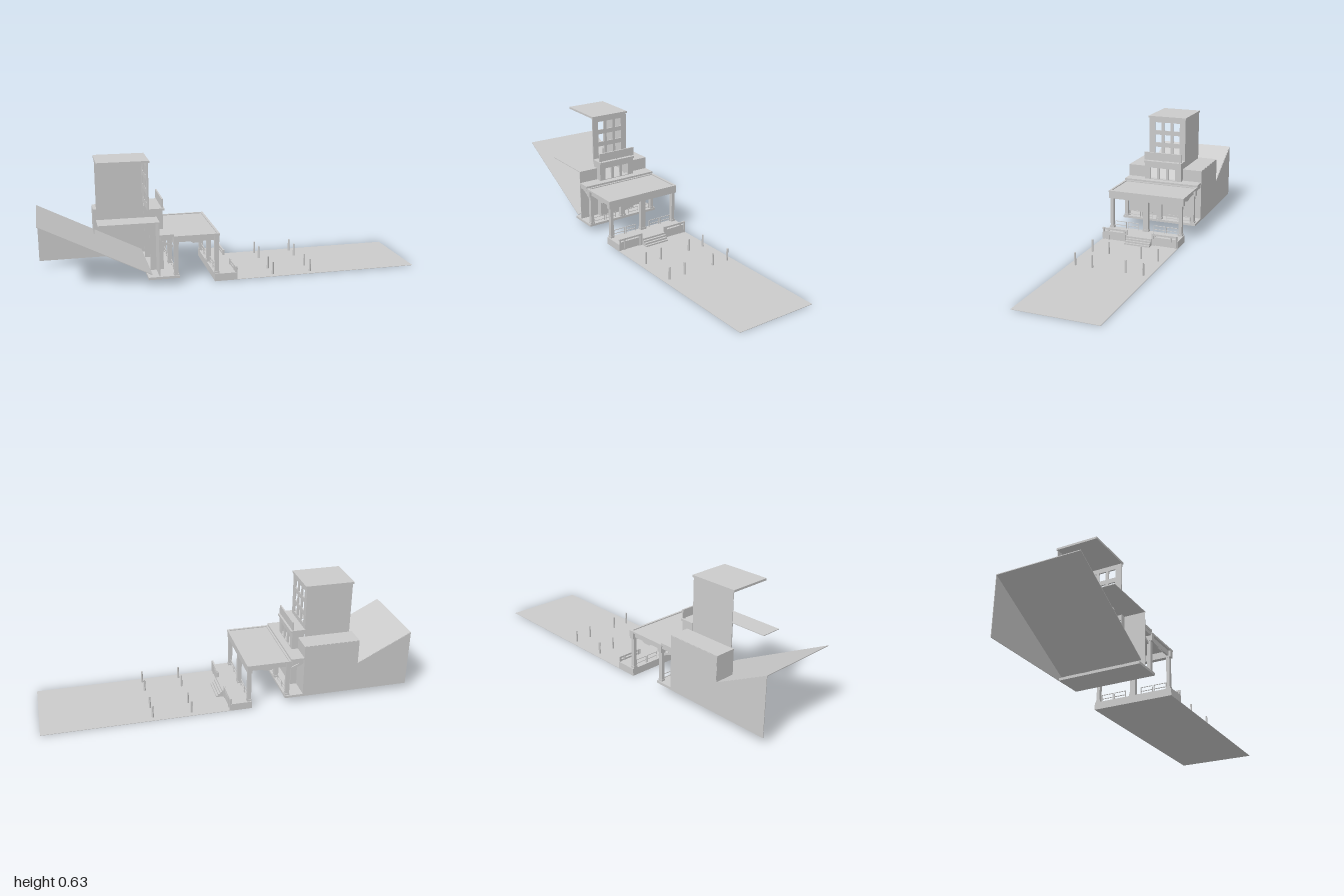
import * as THREE from 'three';

export function createModel() {
  const root = new THREE.Group();
  const mat = new THREE.MeshStandardMaterial({ color: 0xcccccc, flatShading: true, side: THREE.DoubleSide });

  const add = (name, geo) => {
    const m = new THREE.Mesh(geo, mat);
    m.name = name;
    root.add(m);
    return m;
  };
  // Box given by its limits on each axis
  const box = (name, x0, x1, y0, y1, z0, z1) => {
    const m = add(name, new THREE.BoxGeometry(x1 - x0, y1 - y0, z1 - z0));
    m.position.set((x0 + x1) / 2, (y0 + y1) / 2, (z0 + z1) / 2);
    return m;
  };
  const poly = (pts) => new THREE.Shape(pts.map(([a, b]) => new THREE.Vector2(a, b)));
  // Wall facing +x with window openings [z0, z1, y0, y1]
  const facade = (name, x, t, half, y0, y1, holes) => {
    const s = poly([[-half, y0], [half, y0], [half, y1], [-half, y1]]);
    for (const [a, b, c, d] of holes) {
      s.holes.push(new THREE.Path([[a, c], [b, c], [b, d], [a, d]].map((p) => new THREE.Vector2(...p))));
    }
    const g = new THREE.ExtrudeGeometry(s, { depth: t, bevelEnabled: false });
    g.rotateY(Math.PI / 2).translate(x - t, 0, 0);
    return add(name, g);
  };
  const cols = [-0.056, 0, 0.056];
  const windows = (y0, y1) => cols.map((c) => [c - 0.02, c + 0.02, y0, y1]);

  // Street with bollards
  box('street', 0, 1, 0, 0.002, -0.222, 0.222);
  for (const x of [0.208, 0.416]) {
    for (const z of [-0.187, -0.092, 0.092, 0.187]) {
      const b = add('bollard', new THREE.CylinderGeometry(0.005, 0.006, 0.07, 8));
      b.position.set(x, 0.035, z);
    }
  }

  // Hillside slope and the rear retaining wall
  const slope = poly([[-1, 0.348], [-1, 0.352], [-0.44, 0.064], [-0.44, 0.06]]);
  add('slope', new THREE.ExtrudeGeometry(slope, { depth: 0.444, bevelEnabled: false })).position.z = -0.222;
  const side = poly([[-1, 0.035], [-0.4, 0.035], [-0.4, 0.335], [-0.705, 0.335], [-0.705, 0.2], [-1, 0.35]]);
  add('sideWall', new THREE.ExtrudeGeometry(side, { depth: 0.003, bevelEnabled: false })).position.z = -0.224;

  // Low wings on both sides of the tower
  for (const s of [-1, 1]) {
    const [a, b] = s > 0 ? [0.108, 0.223] : [-0.223, -0.108];
    box('wingRoof', -0.706, -0.398, 0.333, 0.337, a, b);
    box('wingFront', -0.404, -0.4, 0.05, 0.335, a, b);
  }
  box('wingBack', -0.706, -0.703, 0.2, 0.335, -0.223, -0.11);

  // Tower: window front, one side wall and a roof slab, open on the other sides
  facade('towerFront', -0.435, 0.008, 0.111, 0.37, 0.62,
    [...windows(0.402, 0.449), ...windows(0.475, 0.522), ...windows(0.547, 0.595)]);
  box('towerSide', -0.69, -0.437, 0.26, 0.62, -0.111, -0.108);
  box('towerRoof', -0.696, -0.428, 0.62, 0.631, -0.114, 0.114);

  // Entrance block with its cornice and the raised panel
  facade('entranceFront', -0.365, 0.008, 0.111, 0.05, 0.368,
    [...windows(0.14, 0.225), ...windows(0.272, 0.338)]);
  for (const z of [-0.111, 0.108]) box('entranceSide', -0.435, -0.366, 0.05, 0.368, z, z + 0.003);
  box('entranceCornice', -0.436, -0.355, 0.368, 0.379, -0.114, 0.114);
  box('raisedPanel', -0.371, -0.363, 0.384, 0.43, -0.114, 0.114);
  for (const z of [-0.1, 0, 0.1]) box('panelFoot', -0.369, -0.365, 0.378, 0.386, z - 0.003, z + 0.003);

  // Canopy over the rear platform, with slanted brackets
  box('canopy', -0.4, -0.328, 0.257, 0.269, -0.223, 0.223);
  box('canopyBeam', -0.396, -0.334, 0.238, 0.257, -0.22, 0.22);
  const brace = poly([[-0.4, 0.238], [-0.4, 0.225], [-0.33, 0.195], [-0.33, 0.208]]);
  for (const z of [-0.205, 0.199]) {
    add('bracket', new THREE.ExtrudeGeometry(brace, { depth: 0.006, bevelEnabled: false })).position.z = z;
  }

  // Platforms
  box('rearPlatform', -0.46, -0.3, 0.035, 0.048, -0.223, 0.223);
  box('frontPlatform', -0.115, 0.0, 0.0, 0.04, -0.222, 0.222);

  // Columns, beams and railings of the hall, one row on each platform
  for (const [x0, x1, floor] of [[-0.328, -0.302, 0.045], [-0.115, -0.09, 0.04]]) {
    for (const z of [-0.204, 0, 0.204]) {
      const w = z === 0 ? 0.015 : 0.009;
      box('column', x0 + 0.002, x1 - 0.002, floor, 0.235, z - w, z + w);
      box('columnBase', x0, x1, floor, floor + 0.012, z - w - 0.003, z + w + 0.003);
    }
    box('hallBeam', x0, x1, 0.213, 0.25, -0.222, 0.222);
    const x = (x0 + x1) / 2;
    for (const s of [-1, 1]) {
      for (const [a, b] of [[0.045, 0.11], [0.12, 0.187]]) {
        const [z0, z1] = s > 0 ? [a, b] : [-b, -a];
        for (const y of [0.056, 0.077]) box('railingBar', x - 0.002, x + 0.002, y, y + 0.003, z0, z1);
        for (const z of [z0, z1]) box('railingPost', x - 0.002, x + 0.002, floor, 0.079, z - 0.0015, z + 0.0015);
      }
    }
  }

  // Hall roof with framed panels and shallow arched cross beams
  box('hallRoof', -0.33, -0.088, 0.248, 0.253, -0.222, 0.222);
  for (const z of [-0.222, 0.21]) box('roofRim', -0.33, -0.088, 0.253, 0.258, z, z + 0.012);
  for (const x of [-0.33, -0.1]) box('roofRim', x, x + 0.012, 0.253, 0.258, -0.222, 0.222);
  for (const z of [-0.204, 0, 0.204]) {
    box('crossBeam', -0.304, -0.113, 0.222, 0.248, z - 0.005, z + 0.005);
    const arch = poly([[-0.24, 0.222], [-0.225, 0.213], [-0.185, 0.213], [-0.17, 0.222]]);
    add('beamDrop', new THREE.ExtrudeGeometry(arch, { depth: 0.008, bevelEnabled: false })).position.z = z - 0.004;
  }

  // Steps down to the street
  for (let i = 0; i < 4; i++) {
    box('step', -0.005, 0.012 + i * 0.011, 0, 0.04 - i * 0.01, -0.073, 0.073);
  }

  // Fences on the street edge beside the steps
  for (const s of [-1, 1]) {
    const [a, b] = s > 0 ? [0.075, 0.22] : [-0.22, -0.075];
    box('fenceRail', -0.004, 0.004, 0.059, 0.069, a, b);
    box('fencePanel', -0.002, 0.002, 0.003, 0.05, a + 0.008, b - 0.008);
    for (const z of [0.077, 0.088, 0.185, 0.214]) {
      box('fencePost', -0.005, 0.005, 0, 0.07, s * z - 0.004, s * z + 0.004);
    }
  }
  return root;
}
